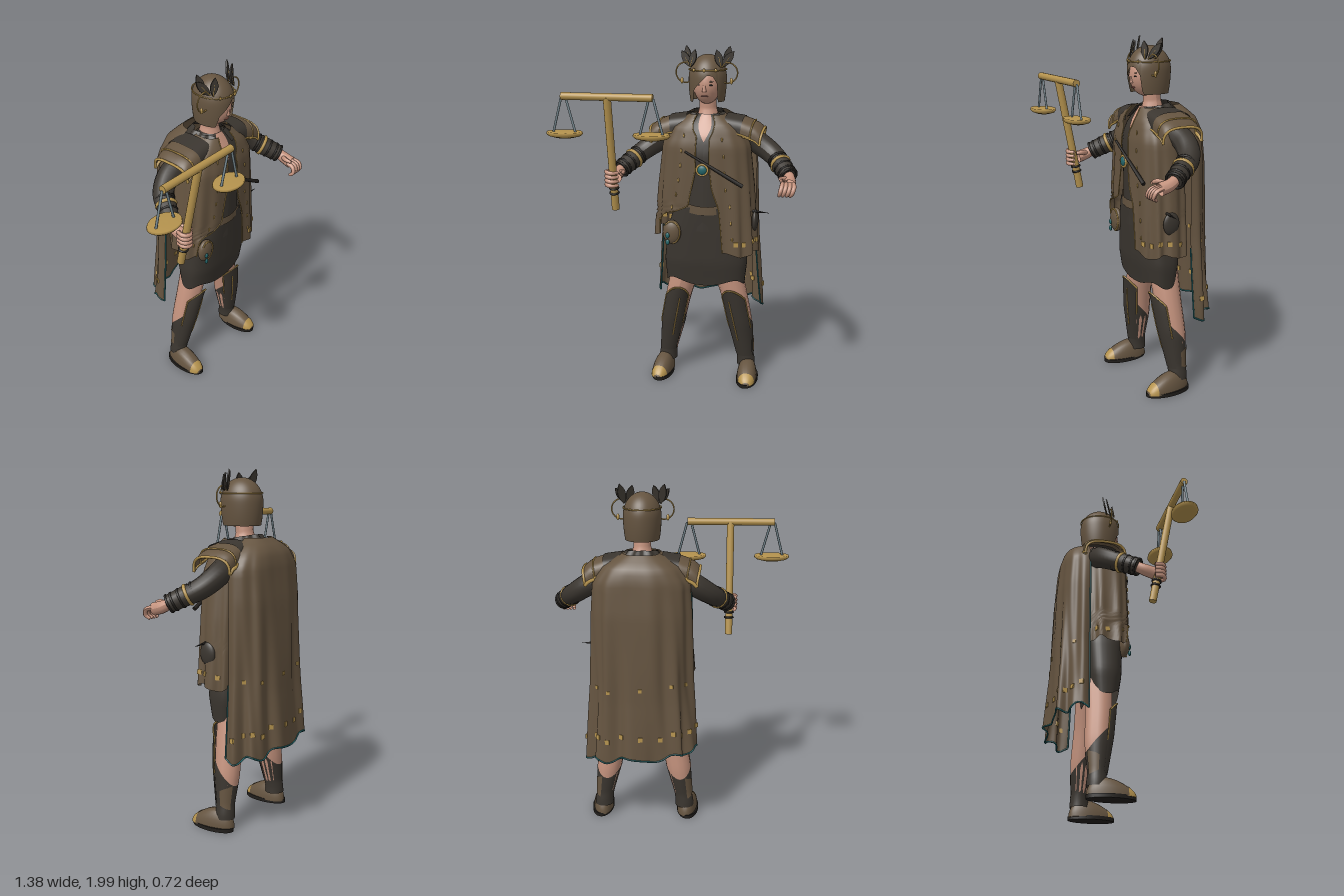
import * as THREE from 'three';

const V = (x, y, z) => new THREE.Vector3(x, y, z);
const mat = (name, color) => {
  const m = new THREE.MeshStandardMaterial({ color, side: THREE.DoubleSide });
  m.name = name;
  return m;
};
// linear interpolation in a short table of [key, value]
const tab = (k, p) => {
  if (k <= p[0][0]) return p[0][1];
  for (let i = 1; i < p.length; i++)
    if (k <= p[i][0]) return THREE.MathUtils.lerp(p[i - 1][1], p[i][1], (k - p[i - 1][0]) / (p[i][0] - p[i - 1][0]));
  return p[p.length - 1][1];
};
const sq = (t, p = 0.72) => Math.sign(t) * Math.abs(t) ** p;

// grid surface from a function of u, v in 0..1
function surf(f, nu, nv) {
  const pos = [], idx = [];
  for (let j = 0; j <= nv; j++) for (let i = 0; i <= nu; i++) pos.push(...f(i / nu, j / nv).toArray());
  for (let j = 0; j < nv; j++) for (let i = 0; i < nu; i++) {
    const a = j * (nu + 1) + i, c = a + nu + 1;
    idx.push(a, a + 1, c + 1, a, c + 1, c);
  }
  const g = new THREE.BufferGeometry();
  g.setAttribute('position', new THREE.Float32BufferAttribute(pos, 3));
  g.setIndex(idx);
  g.computeVertexNormals();
  return g;
}
// round limb along a curve with changing radius
function limb(pts, radii, seg = 20, n = 14) {
  const curve = new THREE.CatmullRomCurve3(pts), g = new THREE.TubeGeometry(curve, seg, 1, n);
  const p = g.attributes.position, v = V(), steps = radii.map((r, i) => [i / (radii.length - 1), r]);
  for (let i = 0; i < p.count; i++) {
    const t = Math.floor(i / (n + 1)) / seg, c = curve.getPointAt(t);
    v.fromBufferAttribute(p, i).sub(c).multiplyScalar(tab(t, steps)).add(c);
    p.setXYZ(i, v.x, v.y, v.z);
  }
  g.computeVertexNormals();
  return g;
}
const rod = (a, b, r, r2 = r, n = 14) => {
  const d = b.clone().sub(a), g = new THREE.CylinderGeometry(r2, r, d.length(), n);
  g.applyQuaternion(new THREE.Quaternion().setFromUnitVectors(V(0, 1, 0), d.normalize()));
  return g.translate((a.x + b.x) / 2, (a.y + b.y) / 2, (a.z + b.z) / 2);
};
const ball = (x, y, z, rx, ry = rx, rz = rx) => new THREE.SphereGeometry(1, 20, 14).scale(rx, ry, rz).translate(x, y, z);
const cord = (pts, r) => new THREE.TubeGeometry(new THREE.CatmullRomCurve3(pts), pts.length * 3, r, 6);
const line = (n, f) => Array.from({ length: n + 1 }, (_, i) => f(i / n));
const ring = (c, dir, R, r) => new THREE.TorusGeometry(R, r, 8, 24)
  .applyQuaternion(new THREE.Quaternion().setFromUnitVectors(V(0, 0, 1), dir.clone().normalize())).translate(c.x, c.y, c.z);

export function createModel() {
  const brown = mat('brown cloth', 0x655440), dark = mat('charcoal cloth', 0x3a352f), gold = mat('gold', 0xb5934e),
    skin = mat('skin', 0xc5937e), teal = mat('teal', 0x23666a), steel = mat('steel', 0x74858c),
    black = mat('black leather', 0x211e1b), lip = mat('lips', 0x8f5a4e);
  const root = new THREE.Group(), body = new THREE.Group();
  body.name = 'figure';
  body.position.x = 0.155;
  root.add(body);
  const add = (name, geo, m, parent = body) => {
    const o = new THREE.Mesh(geo, m);
    o.name = name;
    parent.add(o);
    return o;
  };

  // torso, open neckline and neck
  const torso = (a, y, off = 0) => V((tab(y, [[0.95, 0.2], [1.2, 0.19], [1.45, 0.22], [1.54, 0.18], [1.62, 0.06]]) + off) * Math.sin(a), y,
    -0.055 + (tab(y, [[0.95, 0.14], [1.4, 0.145], [1.5, 0.125], [1.62, 0.06]]) + off) * Math.cos(a));
  add('shirt', surf((u, v) => torso(u * Math.PI * 2, 0.95 + 0.67 * v), 40, 20), dark);
  add('neckline', surf((u, v) => torso((u - 0.5) * v * 0.8, 1.47 + 0.15 * v, 0.005), 8, 8), skin);
  add('neck', limb([V(0, 1.56, -0.06), V(0, 1.64, -0.06), V(0, 1.74, -0.05)], [0.075, 0.05, 0.048]), skin);
  add('collar', surf((u, v) => {
    const a = 0.5 + u * (Math.PI * 2 - 1), r = 0.14 - 0.055 * v + 0.008 * Math.sin(a * 9);
    return V(r * Math.sin(a), 1.565 + 0.065 * v - 0.015 * Math.cos(a), -0.065 + r * Math.cos(a));
  }, 48, 6), dark);
  add('sash', surf((u, v) => torso((u - 0.5) * 2.6, 1.06 + 0.05 * v + 0.01 * Math.sin(u * 9), 0.01), 16, 3), brown);

  // skirt
  add('skirt', surf((u, v) => {
    const a = u * Math.PI * 2, hem = 0.612 + 0.035 * Math.sin(2 * a) ** 2, y = hem + (1.09 - hem) * v;
    const rx = tab(y, [[0.62, 0.232], [0.75, 0.245], [0.95, 0.225], [1.09, 0.18]]);
    return V(rx * sq(Math.sin(a)), y, -0.04 + tab(y, [[0.62, 0.09], [0.75, 0.112], [1.09, 0.13]]) * sq(Math.cos(a)));
  }, 48, 16), dark);

  // open coat: closed over the chest, parted below the waist, longer on its left
  const coat = (u, v, off = 0) => {
    const hem = 0.82 + 0.1 * THREE.MathUtils.smoothstep(u, 0.4, 0.75), y = hem + (1.62 - hem) * v;
    const lo = tab(y, [[0.9, -0.98], [1.03, -0.85], [1.1, -0.2], [1.3, -0.08], [1.5, -0.08], [1.62, -0.35]]);
    const hi = tab(y, [[0.83, 0.28], [1.08, 0.22], [1.2, 0.1], [1.32, 0.07], [1.5, 0.07], [1.62, 0.35]]);
    const a = hi + u * (Math.PI * 2 + lo - hi), fold = 1 + 0.045 * Math.sin(a * 13) * (1 - v) + off;
    const rx = tab(y, [[0.83, 0.3], [1.2, 0.275], [1.45, 0.25], [1.55, 0.2], [1.62, 0.1]]);
    const rz = tab(y, [[0.83, 0.15], [1.45, 0.145], [1.56, 0.12], [1.62, 0.08]]);
    return V(rx * fold * sq(Math.sin(a)), y + 0.015 * Math.sin(a * 6) * (1 - v) ** 3, -0.035 + rz * fold * sq(Math.cos(a)));
  };
  add('coat', surf((u, v) => coat(u, v), 100, 30), brown);
  for (const u of [0, 1]) {
    add('coatTrim', cord(line(18, t => coat(u, t, 0.01)), 0.003), gold);
    for (let k = 0; k < 7; k++) add('coatStud', ball(...coat(u ? 0.955 : 0.045, 0.12 + k * 0.12, 0.02).toArray(), 0.005, 0.013, 0.004), gold);
  }

  // cape with folds, edging and square ornaments
  const cape = (u, v) => {
    const b = (u - 0.5) * 2.9, hem = 0.47 - 0.03 * Math.sin(b) + 0.018 * Math.sin(b * 9), y = hem + (1.63 - hem) * v;
    const wave = Math.sin(b * 10 + 1 + v * 2) + 0.5 * Math.sin(b * 17 - v * 3);
    const fold = 1 + (0.008 + 0.05 * (1 - v)) * wave * Math.min(1, (1 - v) * 6);
    const rx = tab(y, [[0.45, 0.32], [0.9, 0.29], [1.3, 0.285], [1.48, 0.275], [1.57, 0.21], [1.63, 0.1]]);
    const rz = tab(y, [[0.45, 0.23], [0.8, 0.21], [1.3, 0.2], [1.5, 0.185], [1.57, 0.165], [1.63, 0.1]]);
    return V(rx * fold * sq(Math.sin(b)), y, -0.11 - rz * fold * sq(Math.cos(b)));
  };
  add('cape', surf(cape, 100, 36), brown);
  add('capeHemTrim', cord(line(40, t => cape(t, 0)), 0.005), teal);
  for (const [u, top] of [[0, 0.85], [1, 0.34]]) add('capeSideTrim', cord(line(16, t => cape(u, t * top)), 0.005), teal);
  const ornament = (f, u, v, s) => {
    const p = f(u, v), o = add('ornament', new THREE.BoxGeometry(s, s, 0.009), gold);
    const n = f(u + 0.01, v).sub(p).cross(f(u, v + 0.01).sub(p)).normalize();
    o.quaternion.setFromUnitVectors(V(0, 0, 1), n);
    o.position.copy(p);
  };
  for (let k = 0; k < 11; k++) {
    ornament(cape, 0.06 + k * 0.088, 0.11, 0.026);
    if (k % 2) ornament(cape, 0.06 + k * 0.088, 0.36, 0.02);
  }
  for (const u of [0.06, 0.12, 0.18, 0.24, 0.3, 0.72, 0.79, 0.86]) ornament(coat, u, 0.09, 0.026);

  for (const s of [-1, 1]) {
    // layered shoulder plates with gold rims, arching over the arm
    for (let k = 0; k < 3; k++) {
      const plate = (u, v) => {
        const t = u * Math.PI, o = 0.1 + 0.055 * k + 0.1 * (1 - v), top = tab(o, [[0.1, 1.62], [0.2, 1.595], [0.28, 1.56], [0.33, 1.51]]);
        return V(s * (o + 0.015 * Math.sin(t)), top + 0.01 * (1 - v) - 0.085 * (1 - sq(Math.sin(t), 0.6)), -0.07 + 0.12 * sq(Math.cos(t)));
      };
      add('shoulderPlate', surf(plate, 28, 6), k ? brown : dark);
      if (k) add('shoulderRim', cord(line(18, t => plate(t, 0)), k === 2 ? 0.008 : 0.005), gold);
      if (k) for (const u of [0, 1]) add('shoulderRim', cord(line(4, t => plate(u, t)), u ? 0.011 : 0.006), gold);
    }
    // sleeve, bracer and bands
    const arm = [V(s * 0.17, 1.5, -0.08), V(s * 0.285, 1.45, -0.1), V(s * 0.39, 1.38, -0.06), V(s * 0.48, 1.3, 0.08)];
    add('sleeve', limb(arm, [0.064, 0.064, 0.056, 0.044]), dark);
    const wrist = arm[3], dir = arm[3].clone().sub(arm[2]);
    add('bracer', rod(arm[2].clone().lerp(wrist, 0.3), wrist, 0.057, 0.05), dark);
    for (const [t, m] of [[0.2, black], [0.4, gold], [0.62, black], [0.85, black], [1, black]])
      add('armBand', ring(arm[2].clone().lerp(wrist, t), dir, 0.054 - 0.006 * t, m === gold ? 0.011 : 0.007), m);
    // hand
    add('palm', limb([wrist, V(s * 0.49, 1.28, 0.12), V(s * 0.49, 1.265, 0.175)], [0.03, 0.034, 0.036]), skin);
    for (let k = 0; k < 4; k++) {
      const y = 1.305 - k * 0.024;
      const pts = s < 0
        ? [V(-0.525, y, 0.17), V(-0.53, y, 0.215), V(-0.495, y - 0.004, 0.232), V(-0.465, y - 0.004, 0.205)]
        : [V(0.515 - k * 0.02, 1.275, 0.17), V(0.52 - k * 0.022, 1.262, 0.21), V(0.512 - k * 0.022, 1.23, 0.222), V(0.5 - k * 0.02, 1.212, 0.2)];
      add('finger', limb(pts, [0.013, 0.013, 0.012, 0.009], 10, 8), skin);
    }
    add('thumb', limb([V(s * 0.47, 1.29, 0.13), V(s * 0.445, 1.3, 0.17), V(s * 0.45, 1.295, 0.2)], [0.015, 0.014, 0.009], 8, 8), skin);

    // leg, boot and greave
    const mid = y => V(s * tab(y, [[0.1, 0.245], [0.35, 0.205], [0.5, 0.175], [0.72, 0.115]]), y, tab(y, [[0.1, -0.1], [0.35, -0.088], [0.6, -0.07]]));
    add('leg', limb([0.72, 0.52, 0.35, 0.1].map(mid), [0.085, 0.077, 0.072, 0.045]), skin);
    const boot = (a, v, off = 0) => {
      const y = 0.07 + v * (0.28 + 0.09 * Math.cos(a)), r = off + tab(y, [[0.07, 0.055], [0.15, 0.052], [0.33, 0.075], [0.46, 0.077]]);
      return mid(y).add(V(r * Math.sin(a), 0, r * Math.cos(a)));
    };
    add('boot', surf((u, v) => boot(u * Math.PI * 2, v), 28, 12), dark);
    add('anklePatch', surf((u, v) => boot(s * (1.6 + 1.1 * u), 0.3 + (0.3 + 0.4 * u) * v, 0.004), 10, 6), brown);
    const greave = (u, v) => {
      const a = (u - 0.5) * 2.1, y = 0.14 + v * (0.31 + 0.13 * Math.cos(a));
      const r = tab(y, [[0.14, 0.057], [0.36, 0.078], [0.57, 0.08]]);
      return mid(y).add(V(r * Math.sin(a), 0, (r + 0.025 * v) * Math.cos(a)));
    };
    add('greave', surf(greave, 16, 12), dark);
    add('greaveTrim', cord(line(10, t => greave(t, 1)), 0.005), gold);
    add('greaveTrim', cord(line(8, t => greave(s > 0 ? 0.35 : 0.65, 0.25 + 0.6 * t)), 0.004), gold);
    for (const u of [0, 1]) add('greaveTrim', cord(line(8, t => greave(u, 0.5 + 0.5 * t)), 0.004), gold);
    // shoe with a gold toe band on a flat sole
    const shoe = (from, span, k) => {
      const g = new THREE.SphereGeometry(1, 24, 18, 0, Math.PI * 2, from, span).rotateX(Math.PI / 2), p = g.attributes.position;
      for (let i = 0; i < p.count; i++) {
        const z = p.getZ(i), h = 0.1 - 0.035 * z;
        p.setXYZ(i, sq(p.getX(i), 0.8) * 0.06 * k, 0.015 + Math.max(0, p.getY(i)) * h * k, -0.025 + z * 0.135 * (k > 1 ? 1.01 : 1));
      }
      g.computeVertexNormals();
      return g.rotateY(s * 0.08).translate(s * 0.262, 0, 0);
    };
    add('shoe', shoe(0, Math.PI, 1), brown);
    add('toeBand', shoe(0.28, 0.58, 1.04), gold);
    add('sole', new THREE.CylinderGeometry(0.065, 0.065, 0.022, 28).scale(1, 1, 2.12).translate(s * 0.262, 0.011, -0.025), black);

    // crown hoop, drop and leaves at the temple
    add('crownHoop', new THREE.TorusGeometry(0.056, 0.004, 8, 24, Math.PI * 1.2).rotateZ(-Math.PI * 0.6)
      .scale(s, 1, 1).translate(s * 0.118, 1.85, 0), gold);
    add('crownDrop', ball(s * 0.14, 1.805, 0, 0.009, 0.018, 0.009), gold);
    [[0.085, -0.62, 0.115, 0.01], [0.1, -0.2, 0.12, -0.02], [0.085, 0.3, 0.1, 0.03]].forEach(([x, tilt, len, z]) => {
      const sh = new THREE.Shape();
      sh.moveTo(0, 0);
      sh.quadraticCurveTo(0.045, len * 0.5, 0, len);
      sh.quadraticCurveTo(-0.045, len * 0.5, 0, 0);
      const leaf = new THREE.Group();
      leaf.name = 'crownLeaf';
      add('leafBlade', new THREE.ExtrudeGeometry(sh, { depth: 0.008, bevelEnabled: false }), dark, leaf);
      add('leafRib', rod(V(0, 0, 0.006), V(0, len * 0.7, 0.006), 0.004, 0.002, 6), gold, leaf);
      leaf.position.set(s * x, 1.88, z);
      leaf.rotation.set(-0.2, s * 0.4, s * tilt);
      body.add(leaf);
    });
  }

  // head and face
  add('head', ball(0, 1.79, -0.02, 0.08, 0.115, 0.096), skin);
  add('nose', rod(V(0, 1.75, 0.068), V(0, 1.795, 0.07), 0.013, 0.006, 8), skin);
  add('mouth', ball(0, 1.725, 0.06, 0.02, 0.005, 0.006), lip);
  for (const s of [-1, 1]) {
    add('eye', ball(s * 0.034, 1.787, 0.066, 0.013, 0.004, 0.004), black);
    add('brow', ball(s * 0.034, 1.806, 0.065, 0.02, 0.003, 0.004), brown);
  }
  // bobbed hair with a sweeping fringe
  add('hair', surf((u, v) => {
    const a = (u - 0.5) * Math.PI * 2;
    const hem = tab(a, [[-0.78, 1.69], [-0.6, 1.76], [0.15, 1.84], [0.45, 1.835], [0.72, 1.79], [0.8, 1.69]]);
    const y = hem + (1.95 - hem) * Math.sin(v * Math.PI / 2);
    const r = y > 1.82 ? Math.sqrt(Math.max(0, 1 - ((y - 1.82) / 0.13) ** 2)) : 1 - (1.82 - y) ** 2 * 6;
    return V(0.107 * r * Math.sin(a), y, -0.04 + 0.124 * r * Math.cos(a));
  }, 72, 24), brown);
  add('crownBand', new THREE.TorusGeometry(1, 0.03, 8, 48).rotateX(Math.PI / 2).scale(0.106, 0.13, 0.122).translate(0, 1.866, -0.04), gold);
  for (const k of [-2, 0, 2]) add('crownBead', ball(0.108 * Math.sin(k * 0.3), 1.868, -0.04 + 0.124 * Math.cos(k * 0.3), 0.008, 0.01, 0.005), gold);

  // brooch, chest blade and waist items
  add('chestBlade', rod(V(-0.1, 1.42, 0.115), V(0.23, 1.235, 0.12), 0.006, 0.012, 8), black);
  add('broochRim', ring(V(0, 1.32, 0.12), V(0, 0, 1), 0.031, 0.007), gold);
  add('broochStone', ball(0, 1.32, 0.12, 0.028, 0.028, 0.014), teal);
  add('hipDagger', rod(V(0.24, 1.07, 0), V(0.37, 1.06, 0), 0.012, 0.001, 8), black);
  add('sidePatch', ball(0.288, 1.01, -0.02, 0.02, 0.064, 0.05), dark);
  add('hipPouch', ball(-0.185, 0.935, 0.07, 0.055, 0.072, 0.03), brown);
  add('hipPouchTrim', new THREE.TorusGeometry(0.05, 0.004, 6, 24, Math.PI * 1.2).rotateZ(-1.4).scale(1, 1.3, 1).translate(-0.185, 0.935, 0.085), gold);
  for (const y of [0.88, 0.92]) add('hipGem', ball(-0.205, y, 0.098, 0.012, 0.017, 0.008), teal);

  // balance scales
  const scales = new THREE.Group();
  scales.name = 'balanceScales';
  root.add(scales);
  add('pole', rod(V(-0.34, 1.08, 0.16), V(-0.34, 1.735, 0.288), 0.022), gold, scales);
  add('beam', rod(V(-0.6, 1.735, 0.288), V(-0.085, 1.735, 0.288), 0.021), gold, scales);
  for (const y of [1.18, 1.21]) add('poleRing', ring(V(-0.34, y, 0.16 + (y - 1.08) * 0.195), V(0, 1, 0.195), 0.024, 0.006), black, scales);
  for (const x of [-0.588, -0.095]) {
    const dish = [[0, 1.503], [0.05, 1.506], [0.09, 1.516], [0.104, 1.528], [0.1, 1.54], [0, 1.538]].map(p => new THREE.Vector2(...p));
    add('pan', new THREE.LatheGeometry(dish, 36).scale(1, 1, 0.71).translate(x, 0, 0.285), gold, scales);
    for (const d of [-1, 1]) add('hanger', rod(V(x + d * 0.065, 1.53, 0.287), V(x + d * 0.012, 1.73, 0.287), 0.007, 0.007, 8), steel, scales);
  }
  return root;
}
